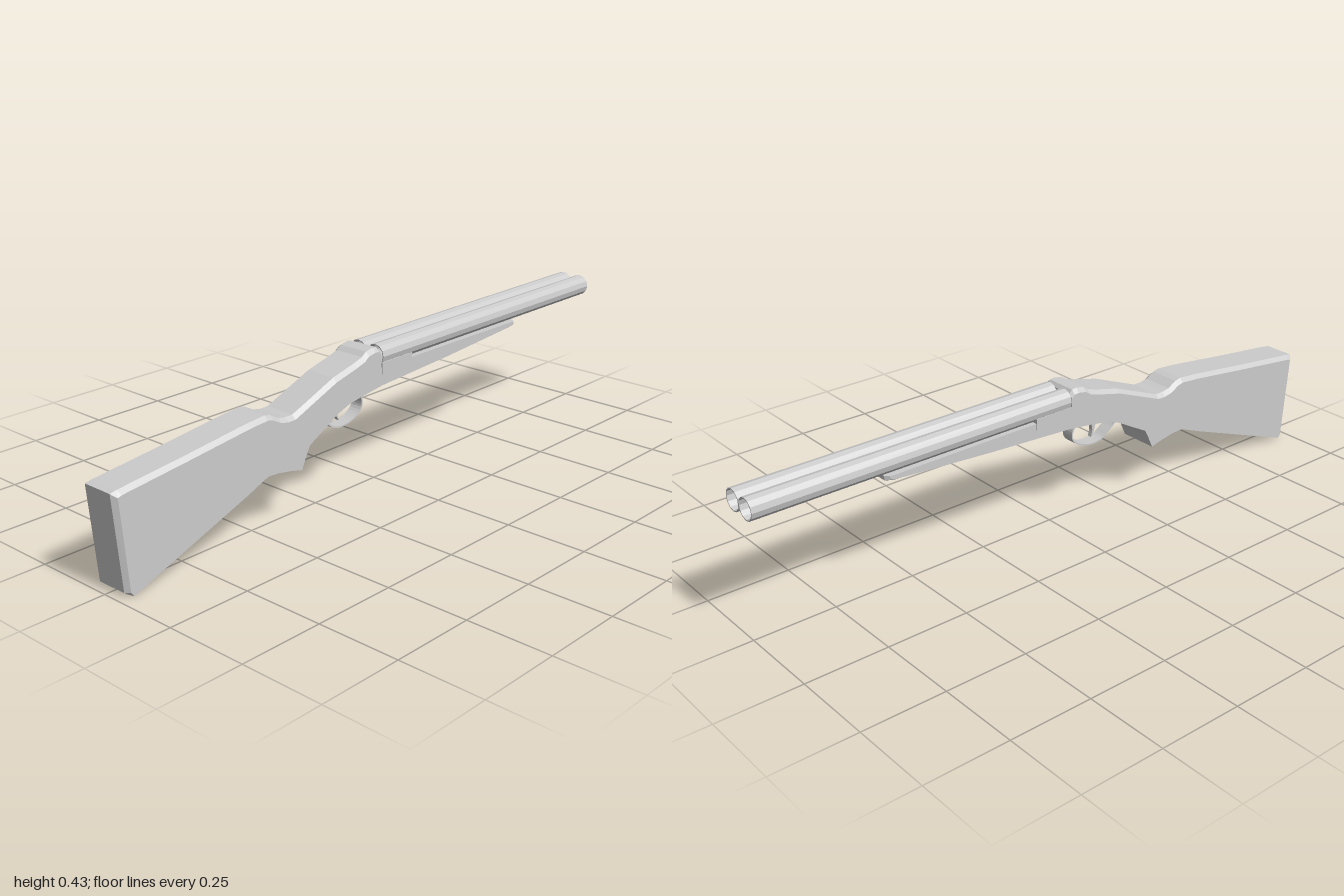
import * as THREE from 'three';

const material = new THREE.MeshStandardMaterial({ color: 0xcccccc, flatShading: true, side: THREE.DoubleSide });

// Side contour [z, y, dz, dy]; dz, dy chamfer the point on the two outer faces
const bodyProfile = [
  [0.977, 0.012, -0.012, 0], [0.96, 0, -0.004, 0], [0.57, 0.142, 0, 0], [0.49, 0.174, 0, 0],
  [0.45, 0.172, 0, 0], [0.40, 0.163, 0, 0], [0.362, 0.153, 0, 0], [0.345, 0.19, 0, 0],
  [0.33, 0.217, 0, 0], [0.27, 0.249, 0, 0], [0.222, 0.276, 0, 0], [0.17, 0.294, 0, 0],
  [0.115, 0.303, 0, 0], [0.03, 0.308, 0, 0.006], [-0.26, 0.324, 0, 0.006], [-0.58, 0.346, 0.01, 0.006],
  [-0.604, 0.353, 0.012, 0.003], [-0.604, 0.366, 0.012, 0], [-0.26, 0.368, 0, 0], [0.035, 0.368, 0, 0],
  [0.035, 0.418, 0, -0.012], [0.045, 0.429, 0, -0.012], [0.06, 0.431, 0, -0.012], [0.088, 0.426, 0, -0.012],
  [0.105, 0.414, 0, -0.012], [0.137, 0.404, 0, -0.012], [0.222, 0.383, 0, -0.012], [0.383, 0.319, 0, -0.012],
  [0.41, 0.319, 0, -0.012], [0.436, 0.324, 0, -0.012], [0.465, 0.34, 0, -0.012], [0.485, 0.345, 0, -0.012],
  [0.55, 0.34, 0, -0.012], [0.76, 0.315, 0, -0.012], [0.98, 0.291, -0.006, -0.012], [1, 0.287, -0.014, -0.012],
];

// Lofts the contour across x with chamfered outer rings
function chamferedSlab(profile, half, chamfer) {
  const n = profile.length;
  const rings = [[-half, 1], [-half + chamfer, 0], [half - chamfer, 0], [half, 1]];
  const positions = [], index = [];
  for (const [x, k] of rings) for (const [z, y, dz, dy] of profile) positions.push(x, y + k * dy, z + k * dz);
  for (let r = 0; r < 3; r++) {
    for (let i = 0; i < n; i++) {
      const a = r * n + i, b = r * n + (i + 1) % n;
      index.push(a, b, b + n, a, b + n, a + n);
    }
  }
  const flat = profile.map(([z, y, dz, dy]) => new THREE.Vector2(-z - dz, y + dy));
  for (const [a, b, c] of THREE.ShapeUtils.triangulateShape(flat, [])) {
    index.push(3 * n + a, 3 * n + b, 3 * n + c, c, b, a);
  }
  const geometry = new THREE.BufferGeometry();
  geometry.setAttribute('position', new THREE.Float32BufferAttribute(positions, 3));
  geometry.setIndex(index);
  const result = geometry.toNonIndexed();
  result.computeVertexNormals();
  return result;
}

// Extrudes a side outline given in (z, y), centred across x
function sideExtrude(shape, width) {
  const geometry = new THREE.ExtrudeGeometry(shape, { depth: width, bevelEnabled: false, curveSegments: 8 });
  geometry.translate(0, 0, -width / 2);
  geometry.rotateY(Math.PI / 2);
  return geometry;
}

const toShapePoints = (points) => points.map(([z, y]) => new THREE.Vector2(-z, y));

export function createModel() {
  const group = new THREE.Group();
  const add = (name, geometry, x = 0, y = 0, z = 0) => {
    const mesh = new THREE.Mesh(geometry, material);
    mesh.name = name;
    mesh.position.set(x, y, z);
    group.add(mesh);
  };

  // Stock, receiver and fore-end in one piece
  add('stockAndForeEnd', chamferedSlab(bodyProfile, 0.061, 0.0125), 0.001);

  // Thin-walled twin barrels, open at the muzzle
  const wall = [[0.0295, -0.515], [0.0325, -0.515], [0.0325, 0.515], [0.0295, 0.515], [0.0295, -0.515]];
  for (const side of [-1, 1]) {
    const barrel = new THREE.LatheGeometry(wall.map(([r, h]) => new THREE.Vector2(r, h)), 12);
    barrel.rotateY(Math.PI / 2);
    barrel.rotateX(-Math.PI / 2);
    add(side > 0 ? 'leftBarrel' : 'rightBarrel', barrel, side * 0.032, 0.399, -0.485);
  }

  // Block under the breech
  add('breechBlock', new THREE.BoxGeometry(0.125, 0.035, 0.13), 0.001, 0.365, -0.032);

  // Trigger guard loop: a thin band closed along the receiver
  const loop = new THREE.CatmullRomCurve3([
    [0.245, 0.262], [0.215, 0.234], [0.19, 0.217], [0.15, 0.212], [0.1, 0.225],
    [0.073, 0.25], [0.073, 0.278], [0.09, 0.298], [0.14, 0.302], [0.2, 0.287],
  ].map(([z, y]) => new THREE.Vector3(-z, y, 0)), true).getPoints(36);
  const guard = new THREE.Shape(loop.map((p) => new THREE.Vector2(p.x, p.y)));
  guard.holes.push(new THREE.Path(loop.map((p) =>
    new THREE.Vector2(-0.15 + (p.x + 0.15) * 0.94, 0.258 + (p.y - 0.258) * 0.9))));
  add('triggerGuard', sideExtrude(guard, 0.04), 0.001);

  // Curved trigger
  const trigger = new THREE.Shape(toShapePoints([
    [0.185, 0.3], [0.175, 0.265], [0.168, 0.243], [0.158, 0.229], [0.163, 0.25], [0.16, 0.27], [0.15, 0.3],
  ]));
  add('trigger', sideExtrude(trigger, 0.014), 0.001);

  return group;
}
